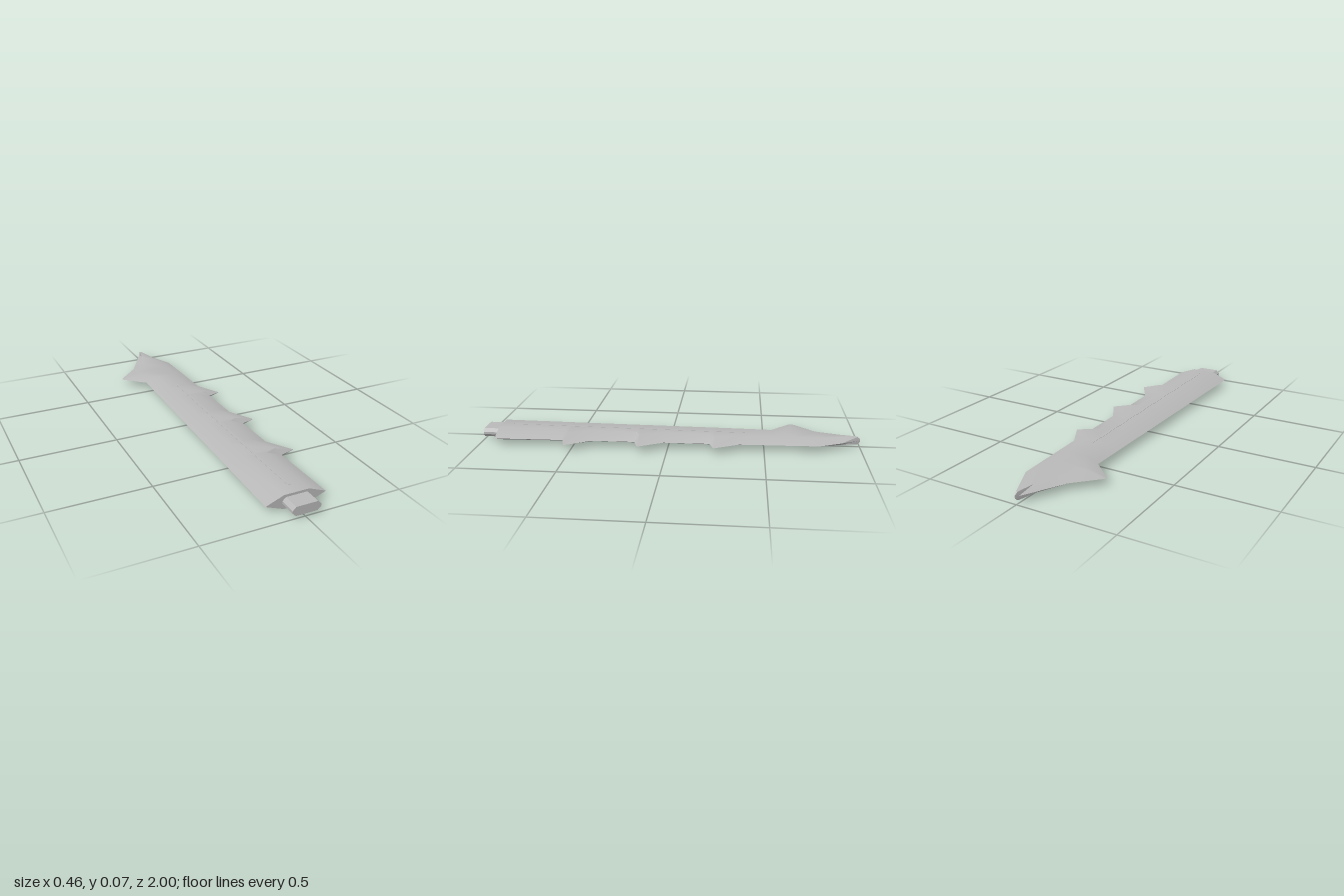
import * as THREE from 'three';
import { toCreasedNormals } from 'three/addons/utils/BufferGeometryUtils.js';

const MID = 0.0385; // height of the cutting edge
const halfThickness = (z) => 0.0285 + 0.0077 * z;

// Blade stations from the base to the tip: [z, left edge, left shoulder, right shoulder, right edge]
function bladeStations() {
  const stations = [[0.915, -0.148, -0.057, 0.07, 0.158]];
  const leftEdge = (z) => -0.133 - 0.0163 * z;
  const rightEdge = (z) => 0.138 + 0.0205 * z;
  // Three barbs, each with a steep front face and a sloping back
  for (const [z, tip] of [[0.53, 0.228], [0.15, 0.212], [-0.24, 0.2]]) {
    const add = (zz, shoulder, edge) => stations.push([zz, leftEdge(zz), -0.055, shoulder, edge]);
    add(z + 0.022, 0.065, rightEdge(z));
    add(z, tip - 0.108, tip);
    add(z - 0.13, 0.06, rightEdge(z - 0.13));
  }
  // Hook on the other side, then the point
  stations.push(
    [-0.545, -0.125, -0.052, 0.056, 0.125],
    [-0.645, -0.233, -0.122, 0.055, 0.122],
    [-0.662, -0.235, -0.124, 0.055, 0.121],
    [-0.78, -0.118, -0.05, 0.052, 0.117],
    [-0.9, -0.052, -0.016, 0.021, 0.06],
    [-0.985, -0.004, 0, 0.009, 0.014],
    [-1.0, 0.003, 0.004, 0.006, 0.007],
  );
  return stations;
}

// Six-sided cross-sections joined along the length, closed at both ends
function bladeGeometry() {
  const stations = bladeStations();
  const points = [];
  const index = [];
  stations.forEach(([z, l, sl, sr, r], i) => {
    const h = i === stations.length - 1 ? 0.008 : halfThickness(z);
    const ring = [[r, 0], [sr, h], [sl, h], [l, 0], [sl, -h], [sr, -h]];
    for (const [x, y] of ring) points.push(x, MID + y, z);
    if (i === 0) return;
    for (let j = 0; j < 6; j++) {
      const a = (i - 1) * 6 + j;
      const b = (i - 1) * 6 + (j + 1) % 6;
      index.push(a, a + 6, b + 6, a, b + 6, b);
    }
  });
  const last = (stations.length - 1) * 6;
  for (let j = 1; j < 5; j++) {
    index.push(0, j, j + 1);
    index.push(last, last + j + 1, last + j);
  }
  const geometry = new THREE.BufferGeometry();
  geometry.setAttribute('position', new THREE.Float32BufferAttribute(points, 3));
  geometry.setIndex(index);
  return toCreasedNormals(geometry, 0.6);
}

// Tang with chamfered corners
function tangGeometry() {
  const w = 0.0715, h = 0.023, c = 0.017;
  const outline = [[w, -h + c], [w, h - c], [w - c, h], [-w + c, h],
    [-w, h - c], [-w, -h + c], [-w + c, -h], [w - c, -h]];
  const shape = new THREE.Shape(outline.map(([x, y]) => new THREE.Vector2(x, y)));
  return new THREE.ExtrudeGeometry(shape, { depth: 0.1, bevelEnabled: false });
}

// Narrow centre rib that follows the taper of the blade
function ribGeometry() {
  const geometry = new THREE.BoxGeometry(0.014, 2, 1.25);
  geometry.translate(0.006, 0, 0.225);
  const p = geometry.attributes.position;
  for (let i = 0; i < p.count; i++) {
    p.setY(i, MID + Math.sign(p.getY(i)) * (halfThickness(p.getZ(i)) + 0.001));
  }
  geometry.computeVertexNormals();
  return geometry;
}

export function createModel() {
  const model = new THREE.Group();
  model.name = 'barbedBlade';
  const steel = new THREE.MeshStandardMaterial({ color: 0xb8b8b8 });
  steel.name = 'steel';

  const add = (name, geometry) => {
    const mesh = new THREE.Mesh(geometry, steel);
    mesh.name = name;
    model.add(mesh);
    return mesh;
  };
  add('blade', bladeGeometry());
  add('centreRib', ribGeometry());
  add('tang', tangGeometry()).position.set(0.0065, MID, 0.9);
  return model;
}
